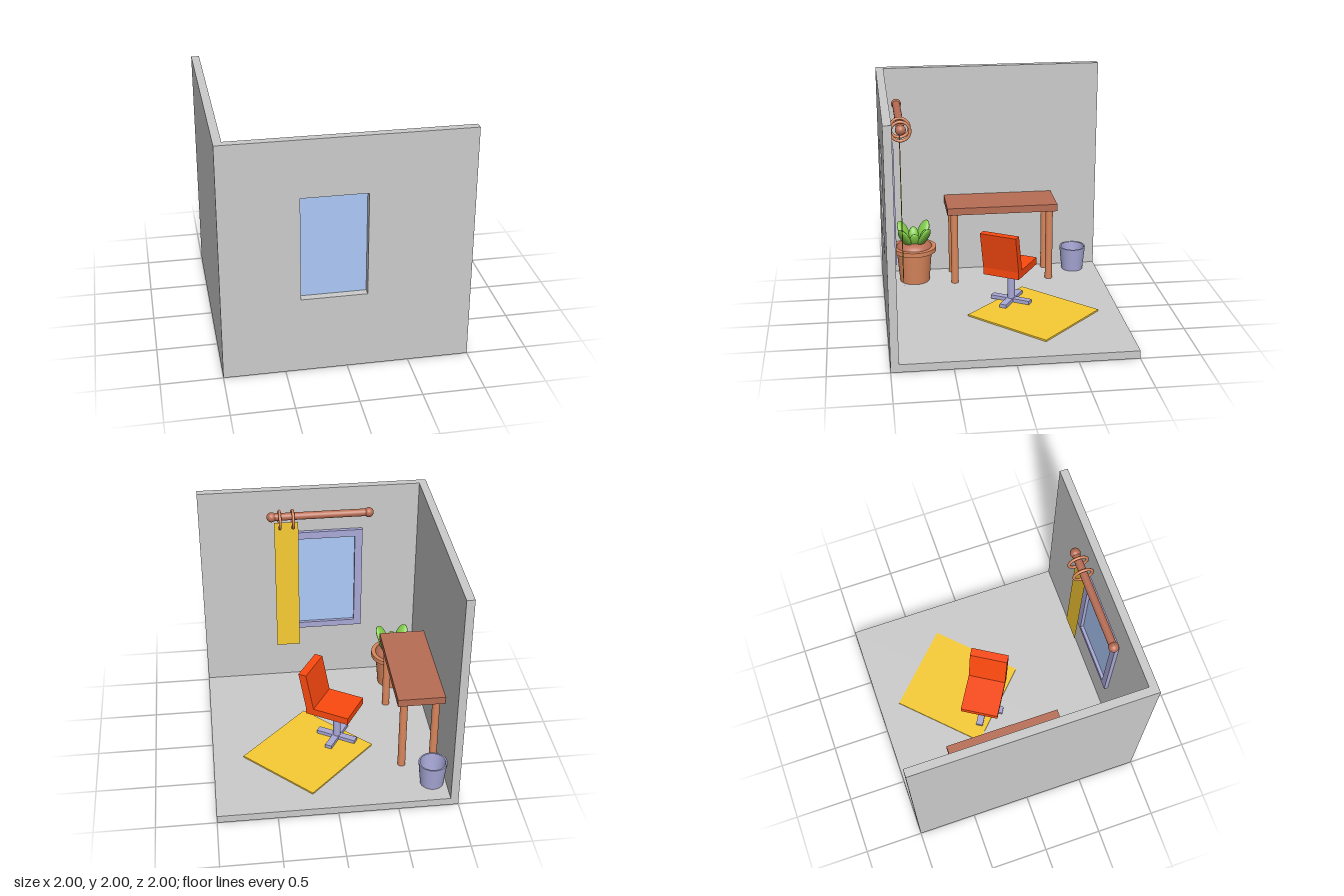
import * as THREE from 'three';

const GREY = 0xcccccc, BROWN = 0xb86d54, CLAY = 0xd9865c, LILAC = 0xa9a9d8,
  YELLOW = 0xf8cc33, ORANGE = 0xfc490f, BLUE = 0xadcaf8, GREEN = 0x7cc644;
const FLOOR = 0.067;

function add(parent, name, geometry, color, x = 0, y = 0, z = 0, side = THREE.FrontSide) {
  const mesh = new THREE.Mesh(geometry, new THREE.MeshStandardMaterial({ color, side }));
  mesh.name = name;
  mesh.position.set(x, y, z);
  parent.add(mesh);
  return mesh;
}

// Box given by its minimum and maximum corners
function addBox(parent, name, color, [x0, y0, z0], [x1, y1, z1]) {
  return add(parent, name, new THREE.BoxGeometry(x1 - x0, y1 - y0, z1 - z0), color,
    (x0 + x1) / 2, (y0 + y1) / 2, (z0 + z1) / 2);
}

// Upright round part between two heights
function addRound(parent, name, color, x, z, y0, y1, r0, r1 = r0) {
  return add(parent, name, new THREE.CylinderGeometry(r1, r0, y1 - y0, 40), color, x, (y0 + y1) / 2, z);
}

function addGroup(parent, name, x = 0, y = 0, z = 0) {
  const group = new THREE.Group();
  group.name = name;
  group.position.set(x, y, z);
  parent.add(group);
  return group;
}

function rectangle(Type, x0, y0, x1, y1) {
  return new Type([[x0, y0], [x1, y0], [x1, y1], [x0, y1]].map(p => new THREE.Vector2(...p)));
}

// Rectangular panel with the window opening cut out
function windowPanel(x0, y0, x1, y1, depth) {
  const shape = rectangle(THREE.Shape, x0, y0, x1, y1);
  shape.holes.push(rectangle(THREE.Path, -0.37, 0.65, 0.16, 1.525));
  return new THREE.ExtrudeGeometry(shape, { depth, bevelEnabled: false });
}

function lathe(points) {
  // Each segment is separate so that the edges stay sharp
  return points.slice(1).map((p, i) =>
    new THREE.LatheGeometry([points[i], p].map(q => new THREE.Vector2(...q)), 40));
}

function buildRoom(root) {
  const room = addGroup(root, 'room');
  addBox(room, 'floor', GREY, [-1, 0, -1], [1, FLOOR, 1]);
  addBox(room, 'sideWall', GREY, [-1, 0, -1], [-0.933, 2, 1]);
  add(room, 'windowWall', windowPanel(-1, 0, 1, 2, 0.067), GREY, 0, 0, 0.933);
  add(room, 'windowFrame', windowPanel(-0.437, 0.593, 0.227, 1.592, 0.033), LILAC, 0, 0, 0.9);
  addBox(room, 'windowGlass', BLUE, [-0.37, 0.65, 0.928], [0.16, 1.525, 0.936]);
}

function buildCurtain(root) {
  const curtain = addGroup(root, 'curtainSet');
  const rod = add(curtain, 'curtainRod', new THREE.CylinderGeometry(0.033, 0.033, 0.86, 32), BROWN, -0.055, 1.79, 0.845);
  rod.rotation.z = Math.PI / 2;
  for (const x of [-0.48, 0.37])
    add(curtain, 'rodEnd', new THREE.SphereGeometry(0.043, 32, 20), BROWN, x, 1.79, 0.845);
  for (const x of [0.185, 0.3]) {
    const ring = add(curtain, 'curtainRing', new THREE.TorusGeometry(0.078, 0.012, 14, 40), CLAY, x, 1.76, 0.845);
    ring.rotation.y = Math.PI / 2;
  }
  add(curtain, 'curtain', new THREE.PlaneGeometry(0.21, 1.28), YELLOW, 0.243, 1.09, 0.85, THREE.DoubleSide);
}

function buildDesk(root) {
  const desk = addGroup(root, 'desk');
  addBox(desk, 'deskTop', BROWN, [-0.933, 0.735, -0.58], [-0.537, 0.8, 0.415]);
  for (const x of [-0.87, -0.6])
    for (const z of [-0.515, 0.35]) addRound(desk, 'deskLeg', CLAY, x, z, FLOOR, 0.735, 0.033);
}

function buildChair(root) {
  // Local x points forward, local z across the seat
  const chair = addGroup(root, 'chair', 0.095, 0, 0.015);
  chair.rotation.y = 2.594;
  const profile = new THREE.Shape([[0, 0.385], [0.395, 0.385], [0.395, 0.45], [0.073, 0.45],
    [0.003, 0.78], [-0.067, 0.78], [0, 0.45]].map(p => new THREE.Vector2(...p)));
  add(chair, 'seatAndBack', new THREE.ExtrudeGeometry(profile, { depth: 0.33, bevelEnabled: false }), ORANGE, 0, 0, -0.165);
  addRound(chair, 'chairStem', LILAC, 0.22, 0, 0.08, 0.39, 0.033);
  addBox(chair, 'chairFoot', LILAC, [0.04, 0.08, -0.03], [0.4, 0.113, 0.03]);
  addBox(chair, 'chairFoot', LILAC, [0.19, 0.08, -0.18], [0.25, 0.113, 0.18]);
}

function buildPlant(root) {
  const plant = addGroup(root, 'plant', -0.715, 0, 0.71);
  addRound(plant, 'pot', CLAY, 0, 0, FLOOR, 0.36, 0.135, 0.16);
  addRound(plant, 'potBand', GREEN, 0, 0, 0.338, 0.358, 0.16, 0.162);
  addRound(plant, 'potRim', CLAY, 0, 0, 0.355, 0.395, 0.2);
  const soil = add(plant, 'soil', new THREE.SphereGeometry(0.163, 32, 12, 0, Math.PI * 2, 0, Math.PI / 2), BROWN, 0, 0.385, 0);
  soil.scale.y = 0.45;
  // Tall leaves on the diagonals, short ones between them
  for (let i = 0; i < 8; i++) {
    const tall = i % 2 === 1;
    const turn = addGroup(plant, 'leafTurn');
    turn.rotation.y = i * Math.PI / 4;
    const leaf = add(turn, 'leaf', new THREE.SphereGeometry(1, 24, 16), GREEN,
      0, tall ? 0.505 : 0.48, tall ? 0.125 : 0.08);
    leaf.scale.set(tall ? 0.06 : 0.045, tall ? 0.107 : 0.07, 0.026);
    leaf.rotation.x = tall ? 0.55 : 0.4;
  }
}

function buildBin(root) {
  const bin = addGroup(root, 'wasteBin', -0.815, 0, -0.775);
  const profile = [[0, FLOOR], [0.098, FLOOR], [0.12, 0.285], [0.107, 0.285], [0.09, 0.09], [0, 0.09]];
  for (const g of lathe(profile)) add(bin, 'binShell', g, LILAC, 0, 0, 0, THREE.DoubleSide);
}

export function createModel() {
  const root = new THREE.Group();
  root.name = 'officeRoom';
  buildRoom(root);
  buildCurtain(root);
  buildDesk(root);
  const rug = add(root, 'rug', new THREE.BoxGeometry(0.77, 0.014, 0.82), YELLOW, 0.178, 0.074, -0.257);
  rug.rotation.y = -Math.PI / 4;
  buildChair(root);
  buildPlant(root);
  buildBin(root);
  return root;
}
